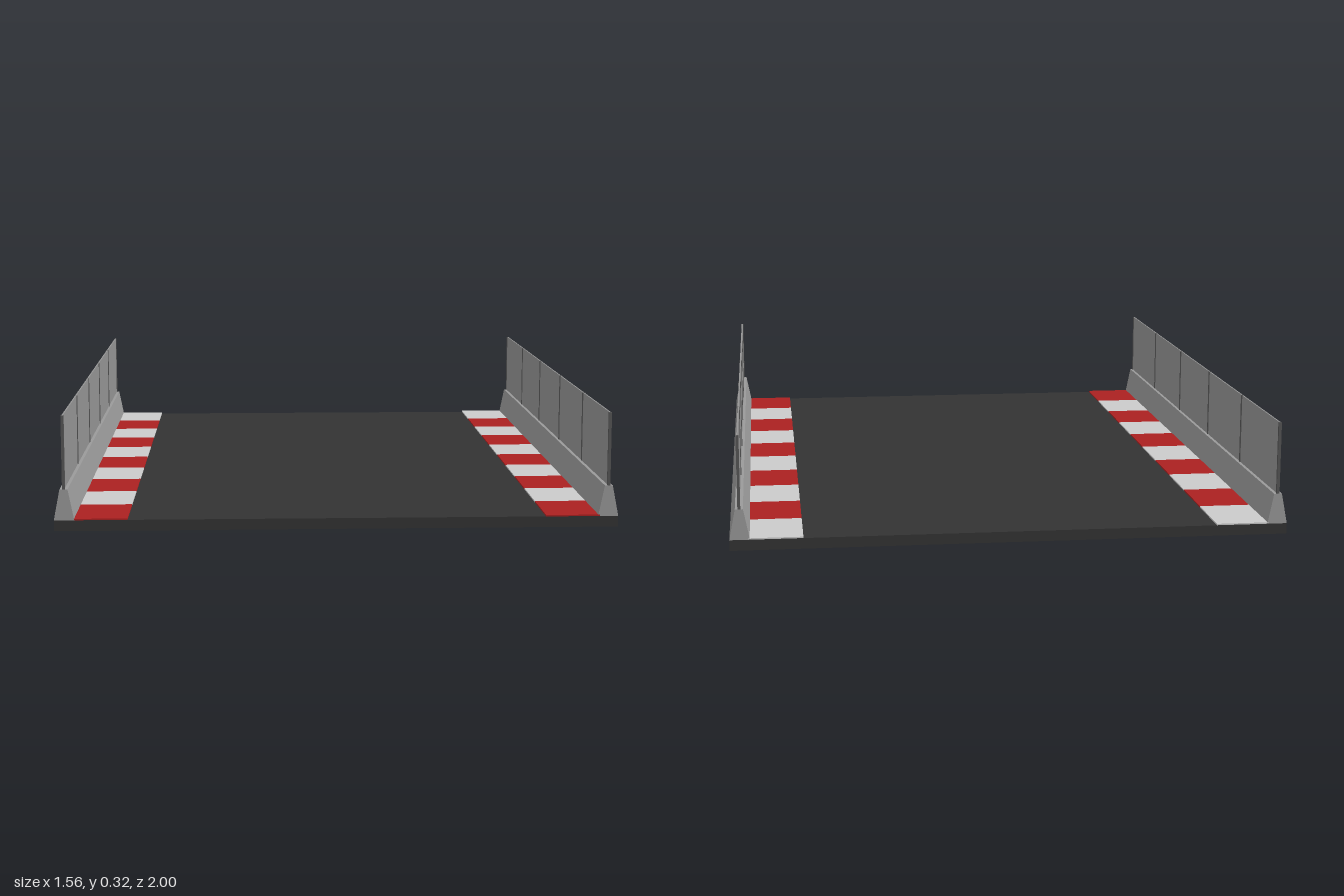
import * as THREE from 'three';

const mat = (name, color) => {
  const m = new THREE.MeshStandardMaterial({ color });
  m.name = name;
  return m;
};

export function createModel() {
  const asphalt = mat('asphalt', 0x333333);
  const red = mat('kerbRed', 0xaa2020);
  const white = mat('kerbWhite', 0xcacaca);
  const concrete = mat('concrete', 0x999999);
  const panelGrey = mat('fenceGrey', 0x949494);
  const postGrey = mat('postGrey', 0x555555);

  const model = new THREE.Group();
  model.name = 'trackSection';

  const box = (name, material, size, pos) => {
    const mesh = new THREE.Mesh(new THREE.BoxGeometry(...size), material);
    mesh.name = name;
    mesh.position.set(...pos);
    model.add(mesh);
  };

  // Road slab
  box('road', asphalt, [1.555, 0.03, 2], [0, 0.015, 0]);

  // Tapered barrier cross-section, extruded along the track
  const profile = new THREE.Shape([
    [-0.028, 0.03], [0.028, 0.03], [0.011, 0.116], [-0.011, 0.116],
  ].map(([x, y]) => new THREE.Vector2(x, y)));
  const barrierGeometry = new THREE.ExtrudeGeometry(profile, { depth: 2, bevelEnabled: false });
  barrierGeometry.translate(0, 0, -1);

  for (const side of [-1, 1]) {
    const label = side > 0 ? 'left' : 'right';

    // Kerb blocks, white at the back and red at the front
    for (let i = 0; i < 10; i++) {
      box(label + 'Kerb', i % 2 ? red : white, [0.15, 0.004, 0.2], [side * 0.652, 0.032, -0.9 + i * 0.2]);
    }

    const barrier = new THREE.Mesh(barrierGeometry, concrete);
    barrier.name = label + 'Barrier';
    barrier.position.x = side * 0.75;
    model.add(barrier);

    // Catch fence with posts between its five panels
    box(label + 'Fence', panelGrey, [0.004, 0.204, 1.992], [side * 0.75, 0.218, 0]);
    for (let i = 0; i < 6; i++) {
      box(label + 'FencePost', postGrey, [0.008, 0.204, 0.008], [side * 0.75, 0.218, -0.996 + i * 0.3984]);
    }
  }
  return model;
}
